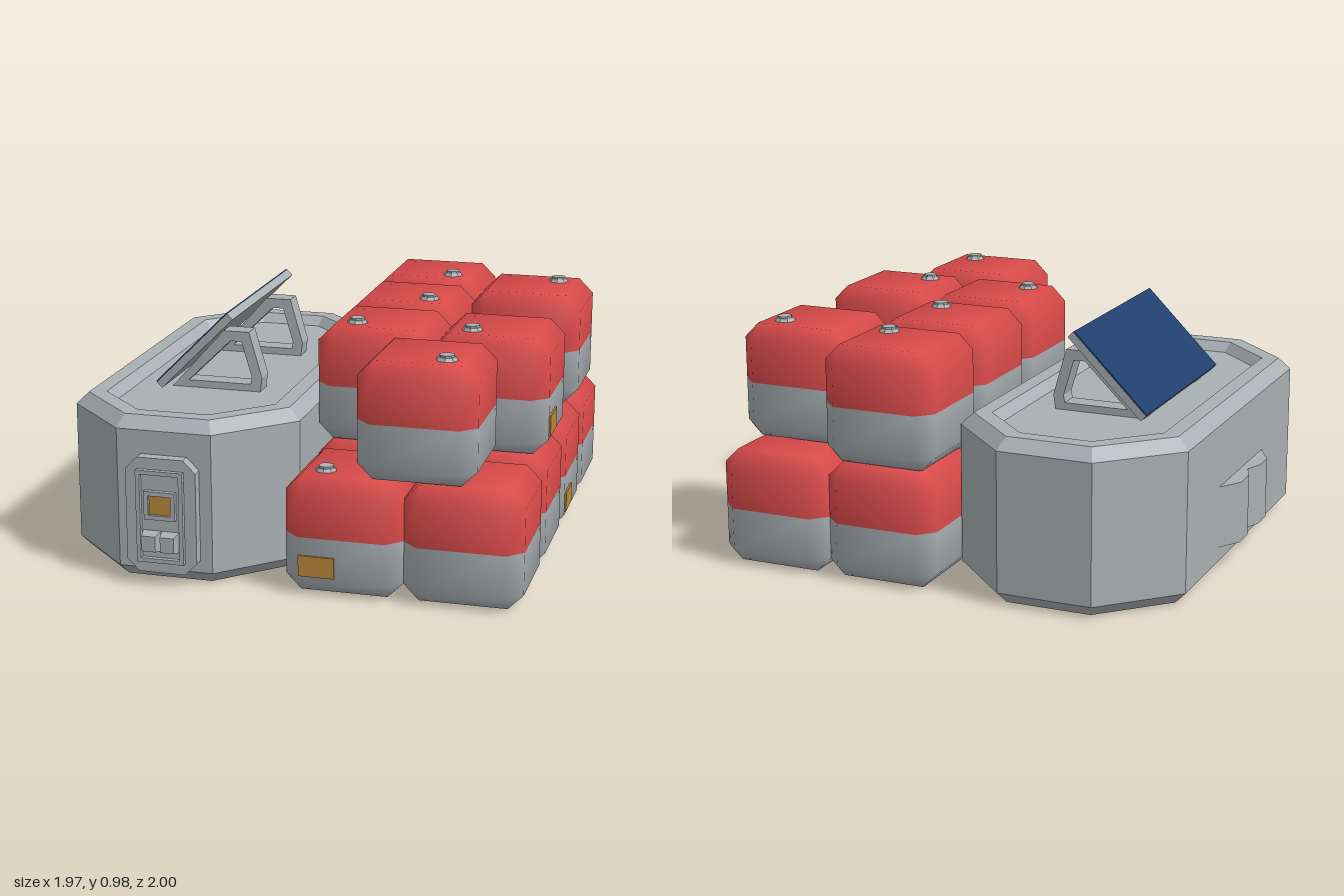
import * as THREE from 'three';

const mat = (name, color, extra = {}) => Object.assign(new THREE.MeshStandardMaterial({ color }), { name }, extra);

// Joins 8-point rings (arrays of [x, y, z], listed bottom to top) and caps both ends
function loft(rings) {
  const pos = rings.flat(2), index = [], n = 8, last = (rings.length - 1) * n;
  for (let r = 0; r < rings.length - 1; r++) {
    for (let i = 0; i < n; i++) {
      const a = r * n + i, b = r * n + (i + 1) % n;
      index.push(a, a + n, b, b, a + n, b + n);
    }
  }
  for (let i = 1; i < n - 1; i++) {
    index.push(0, i, i + 1);
    index.push(last, last + i + 1, last + i);
  }
  const g = new THREE.BufferGeometry();
  g.setAttribute('position', new THREE.Float32BufferAttribute(pos, 3));
  g.setIndex(index);
  return g;
}

// Octagon ring from the two corner points of one quadrant: (ax, az) and (bx, bz)
const octagon = (ax, az, bx, bz, y) => [
  [ax, y, az], [bx, y, bz], [-bx, y, bz], [-ax, y, az],
  [-ax, y, -az], [-bx, y, -bz], [bx, y, -bz], [ax, y, -az],
];

// One half of a soft crate: chamfered cap on one end, flat cut at the middle
const H = 0.237, C = 0.062;
function crateHalf(upper) {
  const s = H - C;
  const cap = (y) => octagon(s, s, s, s, y), full = (y) => octagon(H, s, s, H, y);
  const g = loft(upper ? [full(0), full(s), cap(H)] : [cap(-H), full(-s), full(0)]);
  const p = g.attributes.position, normals = [];
  const lean = (v) => (Math.abs(v) > H - 0.001 ? 1 : 0.32) * Math.sign(v);
  for (let i = 0; i < p.count; i++) {
    const v = new THREE.Vector3(lean(p.getX(i)), lean(p.getY(i)), lean(p.getZ(i))).normalize();
    normals.push(v.x, v.y, v.z);
  }
  g.setAttribute('normal', new THREE.Float32BufferAttribute(normals, 3));
  return g;
}

const shapeOf = (pts) => new THREE.Shape(pts.map(([x, y]) => new THREE.Vector2(x, y)));
const rect = (w, h, c = 0) => c
  ? [[-w + c, -h], [w - c, -h], [w, -h + c], [w, h - c], [w - c, h], [-w + c, h], [-w, h - c], [-w, -h + c]]
  : [[-w, -h], [w, -h], [w, h], [-w, h]];
function extrude(outline, depth, hole) {
  const s = shapeOf(outline);
  if (hole) s.holes.push(shapeOf(hole));
  return new THREE.ExtrudeGeometry(s, { depth, bevelEnabled: false });
}

export function createModel() {
  const root = new THREE.Group();
  const grey = mat('light grey', 0xa9b0b3, { flatShading: true });
  const softGrey = mat('crate grey', 0xa9b0b3);
  const red = mat('crate red', 0xd94a4a);
  const blue = mat('panel blue', 0x1f3f6e);
  const amber = mat('label amber', 0xbb863a);

  function add(name, geo, material, x = 0, y = 0, z = 0, parent = root) {
    const m = new THREE.Mesh(geo, material);
    m.name = name;
    m.position.set(x, y, z);
    parent.add(m);
    return m;
  }

  // Crates: x, z, level, knob offset signs
  const crates = [
    [0.262, 0.667, 0, -1, 1], [0.737, 0.667, 0, 0, 0],
    [0.262, 0.19, 0, 0, 0], [0.737, 0.19, 0, 0, 0],
    [0.262, -0.287, 0, 0, 0], [0.737, -0.287, 0, 1, 1],
    [0.262, -0.763, 0, 0, 0], [0.737, -0.763, 0, 0, 0],
    [0.262, -0.763, 1, 1, 1], [0.262, -0.287, 1, 1, 1], [0.262, 0.19, 1, -1, 1],
    [0.737, 0.19, 1, -1, 1], [0.548, 0.667, 1, 1, 1], [0.737, -0.572, 1, 1, -1],
  ];
  const topGeo = crateHalf(true), bottomGeo = crateHalf(false);
  const knobBase = new THREE.CylinderGeometry(0.034, 0.044, 0.014, 8);
  const knobTop = new THREE.CylinderGeometry(0.03, 0.03, 0.012, 8);
  for (const [x, z, level, kx, kz] of crates) {
    const crate = new THREE.Group();
    crate.name = 'crate';
    crate.position.set(x, H + 0.001 + level * 0.48, z);
    root.add(crate);
    add('crateLid', topGeo, red, 0, 0, 0, crate);
    add('crateBase', bottomGeo, softGrey, 0, 0, 0, crate);
    if (kx) {
      add('knobBase', knobBase, grey, kx * 0.095, H + 0.006, kz * 0.097, crate);
      add('knobTop', knobTop, grey, kx * 0.095, H + 0.015, kz * 0.097, crate);
    }
  }

  // Crate labels
  add('frontLabel', new THREE.BoxGeometry(0.145, 0.085, 0.009), amber, 0.165, 0.122, 0.907);
  const sideLabel = new THREE.BoxGeometry(0.009, 0.085, 0.145);
  add('sideLabelLow', sideLabel, amber, 0.977, 0.122, -0.188);
  add('sideLabelHigh', sideLabel, amber, 0.977, 0.6, 0.29);

  // Machine body: long octagon with bevelled edges and a recessed top
  const X = -0.455, Z = -0.048, hx = 0.475, hz = 0.952, cut = 0.28;
  const bodyRing = ([inset, y]) => {
    const k = cut + 0.414 * inset;
    return octagon(hx - inset, hz - k, hx - k, hz - inset, y);
  };
  const bodyProfile = [[0.048, 0], [0, 0.05], [0, 0.622], [0.048, 0.67], [0.115, 0.67], [0.15, 0.63]];
  add('machineBody', loft(bodyProfile.map(bodyRing)).toNonIndexed(), grey, X, 0, Z).geometry.computeVertexNormals();

  // Double lug on the outer side
  const lug = extrude([[-0.92, -0.23], [-0.93, -0.23], [-0.99, -0.115], [-0.99, -0.02], [-0.96, 0.055],
    [-0.99, 0.13], [-0.99, 0.235], [-0.93, 0.33], [-0.92, 0.33]], 0.255);
  lug.rotateX(-Math.PI / 2);
  add('sideLug', lug, grey, 0, 0.11, 0);

  // Front control panel
  add('controlPlate', extrude(rect(0.145, 0.237, 0.05), 0.06), grey, X, 0.288, 0.89);
  add('controlFrame', extrude(rect(0.097, 0.19), 0.02, rect(0.08, 0.173)), grey, X, 0.288, 0.95);
  add('screenFrame', extrude(rect(0.064, 0.058), 0.02, rect(0.046, 0.04)), grey, X, 0.335, 0.95);
  add('screen', new THREE.BoxGeometry(0.092, 0.08, 0.008), amber, X, 0.335, 0.954);
  for (const s of [-1, 1]) {
    const button = new THREE.CylinderGeometry(0.04, 0.053, 0.05, 4, 1);
    button.rotateY(Math.PI / 4).rotateX(Math.PI / 2);
    add('button', button, grey, X + s * 0.038, 0.185, 0.972).scale.y = 1.12;
  }

  // Tilted solar panel and its two brackets
  const panel = new THREE.Group();
  panel.name = 'solarPanel';
  panel.position.set(-0.515, 0.824, -0.047);
  panel.rotation.z = Math.PI / 4;
  root.add(panel);
  add('panelBack', new THREE.BoxGeometry(0.44, 0.032, 0.86), grey, 0, -0.019, 0, panel);
  add('panelFace', new THREE.BoxGeometry(0.438, 0.006, 0.858), blue, 0, 0, 0, panel);
  const bracket = extrude(
    [[-0.64, 0.62], [-0.25, 0.62], [-0.24, 0.69], [-0.295, 0.882], [-0.405, 0.882]], 0.085,
    [[-0.56, 0.66], [-0.29, 0.66], [-0.284, 0.69], [-0.328, 0.84], [-0.376, 0.84]]);
  for (const z of [-0.395, 0.207]) add('panelBracket', bracket, grey, 0, 0, z);

  return root;
}
